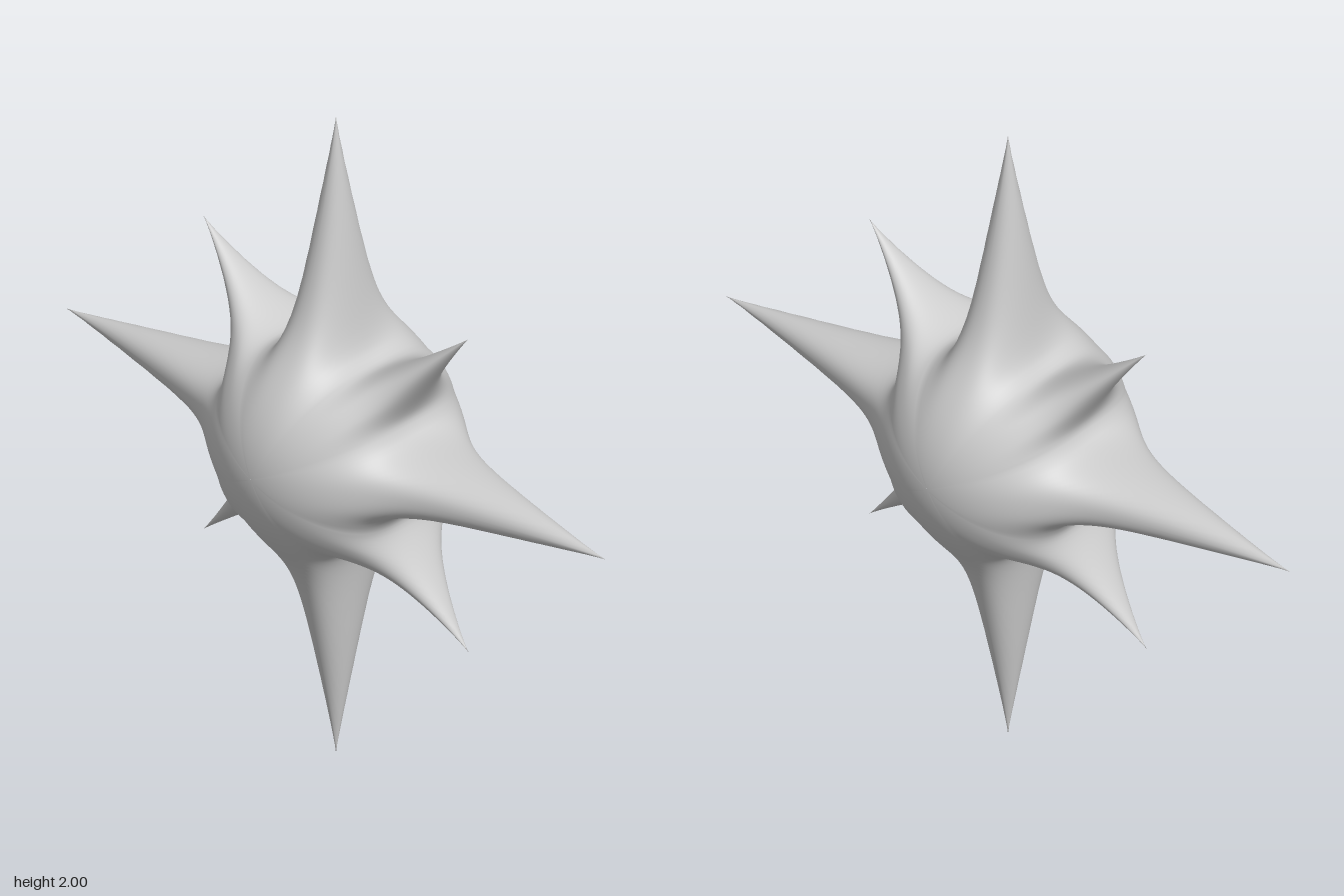
import * as THREE from 'three';
import { mergeVertices } from 'three/addons/utils/BufferGeometryUtils.js';

const CORE = 0.34; // radius of the central ball
// Spike kinds: length beyond the core, sharpness, sideways narrowing, groove range, half sector
const LONG = { len: 0.66, k: 5.05, p: 0.85, n0: 1, n1: 4, g0: 0.15, g1: 0.4, half: THREE.MathUtils.degToRad(27) };
const SHORT = { len: 0.355, k: 4.8, p: 0.83, n0: 1.6, n1: 6, g0: 0.08, g1: 0.28, half: THREE.MathUtils.degToRad(18) };

// Distance from the centre at sideways angle a and elevation e from a spike's axis
function radius(spike, a, e) {
  const side = a * (spike.n0 + spike.n1 * a) * Math.cos(e);
  const s = Math.hypot(side, e);
  const groove = 0.032 * THREE.MathUtils.smoothstep(a, spike.g0, spike.g1) * Math.exp(-((e / 0.4) ** 2));
  return CORE + spike.len * Math.exp(-spike.k * s ** spike.p) - groove;
}

// Crowd the grid lines towards zero, where the spike tips lie
const crowd = (t) => Math.sign(t) * Math.abs(t) ** 1.8;

export function createModel() {
  // Ball with its poles on z, drawn out into eight spikes around its equator
  const geo = new THREE.SphereGeometry(1, 256, 96);
  const { position, uv } = geo.attributes;
  for (let i = 0; i < position.count; i++) {
    const u = uv.getX(i) * 8;
    const k = Math.round(u);
    const spike = k % 2 ? SHORT : LONG;
    const a = spike.half * crowd(2 * (u - k));
    const e = (Math.PI / 2) * crowd(2 * uv.getY(i) - 1);
    const phi = (k * Math.PI) / 4 + a;
    const r = radius(spike, Math.abs(a), Math.abs(e));
    position.setXYZ(i, -r * Math.cos(phi) * Math.cos(e), -r * Math.sin(phi) * Math.cos(e), r * Math.sin(e));
  }
  // Weld the seam so shading is smooth all round
  geo.deleteAttribute('uv');
  geo.deleteAttribute('normal');
  const smooth = mergeVertices(geo, 1e-5);
  smooth.computeVertexNormals();

  const star = new THREE.Mesh(smooth, new THREE.MeshStandardMaterial({ color: 0xcccccc }));
  star.name = 'spikedStar';
  star.position.y = 1;

  const group = new THREE.Group();
  group.name = 'star';
  group.add(star);
  return group;
}
